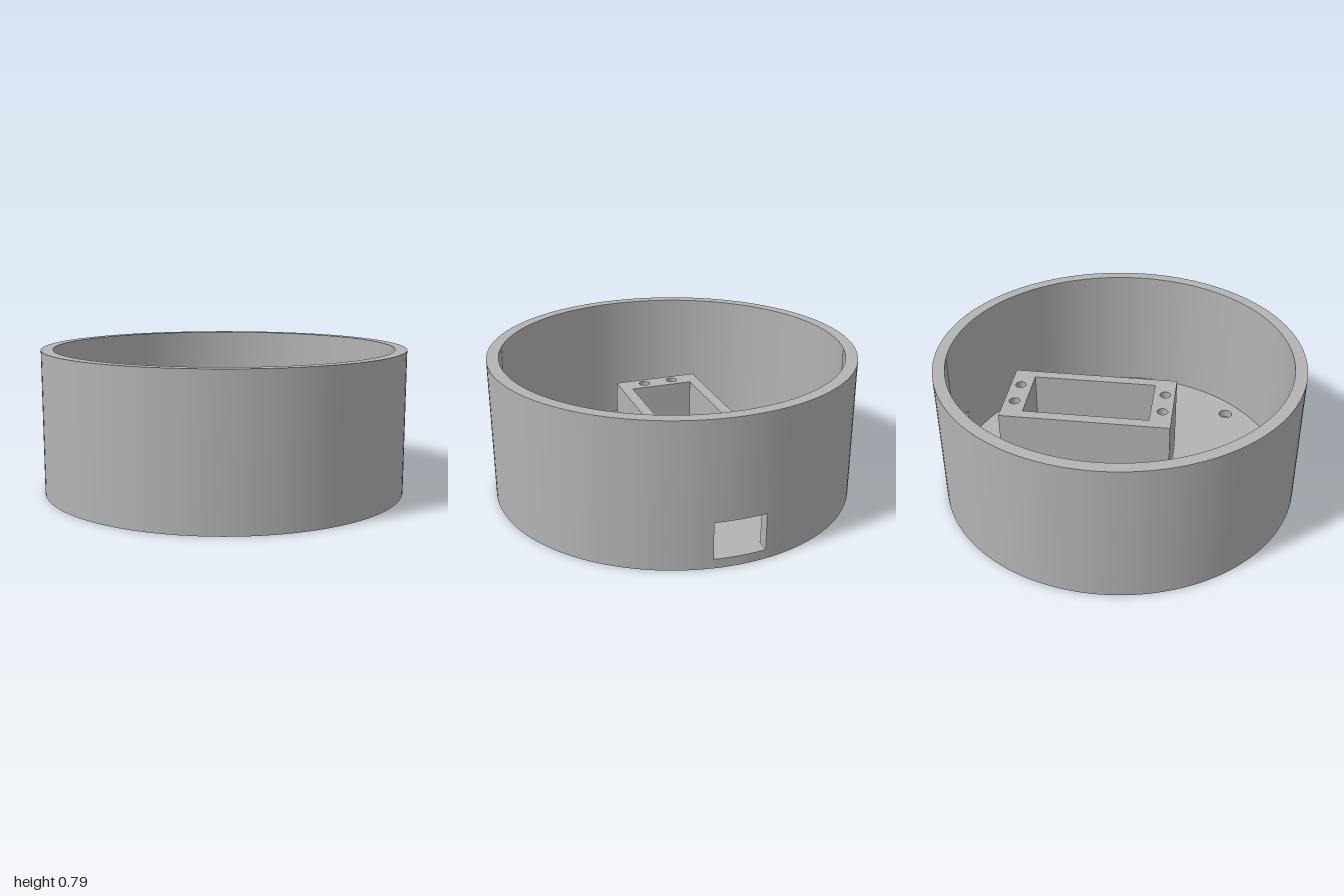
import * as THREE from 'three';
import { mergeGeometries } from 'three/addons/utils/BufferGeometryUtils.js';

const HEIGHT = 0.785, FLOOR = 0.05, OUTER = 1, INNER = 0.935;
const WINDOW = { half: 0.137, y0: FLOOR, y1: 0.25 };
const BLOCK = { x0: -0.3, x1: 0.637, half: 0.233, top: 0.5 };
const POCKET = { x0: -0.18, x1: 0.515, half: 0.173 };
const SLOT = { half: 0.052, y0: 0.065, y1: 0.235 };

// Points (x, z) on a circle
function arc(r, a0, a1, n, cx = 0, cz = 0) {
  return Array.from({ length: n + 1 }, (_, i) => {
    const a = a0 + (a1 - a0) * i / n;
    return new THREE.Vector2(cx + r * Math.cos(a), cz + r * Math.sin(a));
  });
}
const circle = (r, n, cx, cz) => arc(r, 0, Math.PI * 2, n, cx, cz);
const rect = (x0, x1, half) =>
  [[x1, -half], [x1, half], [x0, half], [x0, -half], [x1, -half]].map(p => new THREE.Vector2(...p));
const reversed = path => [...path].reverse();

// Smooth vertical surface along a path; a path of rising angle faces outward
function strip(path, y0, y1) {
  const pos = [], index = [];
  path.forEach((p, i) => {
    pos.push(p.x, y0, p.y, p.x, y1, p.y);
    if (i) {
      const a = 2 * i - 2;
      index.push(a, a + 1, a + 2, a + 1, a + 3, a + 2);
    }
  });
  const g = new THREE.BufferGeometry();
  g.setAttribute('position', new THREE.Float32BufferAttribute(pos, 3));
  g.setIndex(index);
  g.computeVertexNormals();
  return g;
}

// Sharp-cornered vertical faces, one per path segment
const walls = (path, y0, y1) => path.slice(1).map((p, i) => strip([path[i], p], y0, y1));

// Horizontal face with holes (outlines are symmetric in z)
function level(outline, y, up = true, holes = []) {
  const open = path => path[0].distanceTo(path.at(-1)) < 1e-6 ? path.slice(0, -1) : path;
  const shape = new THREE.Shape(open(outline));
  shape.holes = holes.map(h => new THREE.Path(open(h)));
  const g = new THREE.ShapeGeometry(shape);
  g.deleteAttribute('uv');
  return g.rotateX(up ? -Math.PI / 2 : Math.PI / 2).translate(0, y, 0);
}

// Face across x, spanning the block, with the slot cut out
function endFace(x, half, y0, y1, facing) {
  const s = SLOT.half;
  const line = (a, b) => [new THREE.Vector2(x, a * facing), new THREE.Vector2(x, b * facing)];
  return [
    strip(line(-half, -s), y0, y1), strip(line(s, half), y0, y1),
    strip(line(-s, s), y0, SLOT.y0), strip(line(-s, s), SLOT.y1, y1),
  ];
}

export function createModel() {
  const group = new THREE.Group();
  const grey = new THREE.MeshStandardMaterial({ color: 0xb3b3b3 });
  grey.name = 'grey';
  const add = (name, parts) => {
    const mesh = new THREE.Mesh(mergeGeometries(parts), grey);
    mesh.name = name;
    group.add(mesh);
  };

  // Round wall with a rectangular window on the +x side
  const w = WINDOW.half, ao = Math.asin(w / OUTER), ai = Math.asin(w / INNER);
  const outerGap = arc(OUTER, -ao, ao, 6), innerGap = arc(INNER, -ai, ai, 6);
  const outerRest = arc(OUTER, ao, Math.PI * 2 - ao, 128);
  const innerRest = arc(INNER, ai, Math.PI * 2 - ai, 128);
  const outerRing = [...outerGap, ...outerRest.slice(1)];
  const innerRing = [...innerGap, ...innerRest.slice(1)];
  const sill = [...outerGap, ...reversed(innerGap)];
  add('roundWall', [
    strip(outerRest, 0, HEIGHT),
    strip(outerGap, 0, WINDOW.y0),
    strip(outerGap, WINDOW.y1, HEIGHT),
    strip(reversed(innerRest), FLOOR, HEIGHT),
    strip(reversed(innerGap), WINDOW.y1, HEIGHT),
    level(outerRing, HEIGHT, true, [innerRing]),
  ]);
  add('windowLining', [
    level(sill, WINDOW.y0, true),
    level(sill, WINDOW.y1, false),
    strip([innerGap.at(-1), outerGap.at(-1)], WINDOW.y0, WINDOW.y1),
    strip([outerGap[0], innerGap[0]], WINDOW.y0, WINDOW.y1),
  ]);

  // Floor with four through holes
  const floorHoles = [];
  for (const x of [-0.59, 0.59]) for (const z of [-0.59, 0.59]) floorHoles.push(circle(0.04, 32, x, z));
  const blockRect = rect(BLOCK.x0, BLOCK.x1, BLOCK.half);
  const pocketRect = rect(POCKET.x0, POCKET.x1, POCKET.half);
  add('floor', [
    level(outerRing, 0, false, floorHoles),
    level(innerRing, FLOOR, true, [...floorHoles, blockRect]),
    level(pocketRect, FLOOR),
    ...floorHoles.map(h => strip(reversed(h), 0, FLOOR)),
  ]);

  // Raised mounting frame with an open pocket and four screw holes
  const screwHoles = [];
  for (const x of [-0.245, 0.58]) for (const z of [-0.083, 0.083]) screwHoles.push(circle(0.03, 24, x, z));
  add('mountingFrame', [
    level(blockRect, BLOCK.top, true, [pocketRect, ...screwHoles]),
    ...walls(blockRect.slice(1), FLOOR, BLOCK.top),
    ...walls(reversed(pocketRect.slice(1)), FLOOR, BLOCK.top),
    ...endFace(BLOCK.x1, BLOCK.half, FLOOR, BLOCK.top, 1),
    ...endFace(POCKET.x1, POCKET.half, FLOOR, BLOCK.top, -1),
  ]);
  add('screwHoles', screwHoles.flatMap(h => [strip(reversed(h), FLOOR, BLOCK.top), level(h, FLOOR)]));

  // Cable slot through the +x end of the frame
  const slotRect = rect(POCKET.x1, BLOCK.x1, SLOT.half);
  add('cableSlot', [
    level(slotRect, SLOT.y0, true),
    level(slotRect, SLOT.y1, false),
    strip([slotRect[2], slotRect[1]], SLOT.y0, SLOT.y1),
    strip([slotRect[0], slotRect[3]], SLOT.y0, SLOT.y1),
  ]);
  return group;
}
